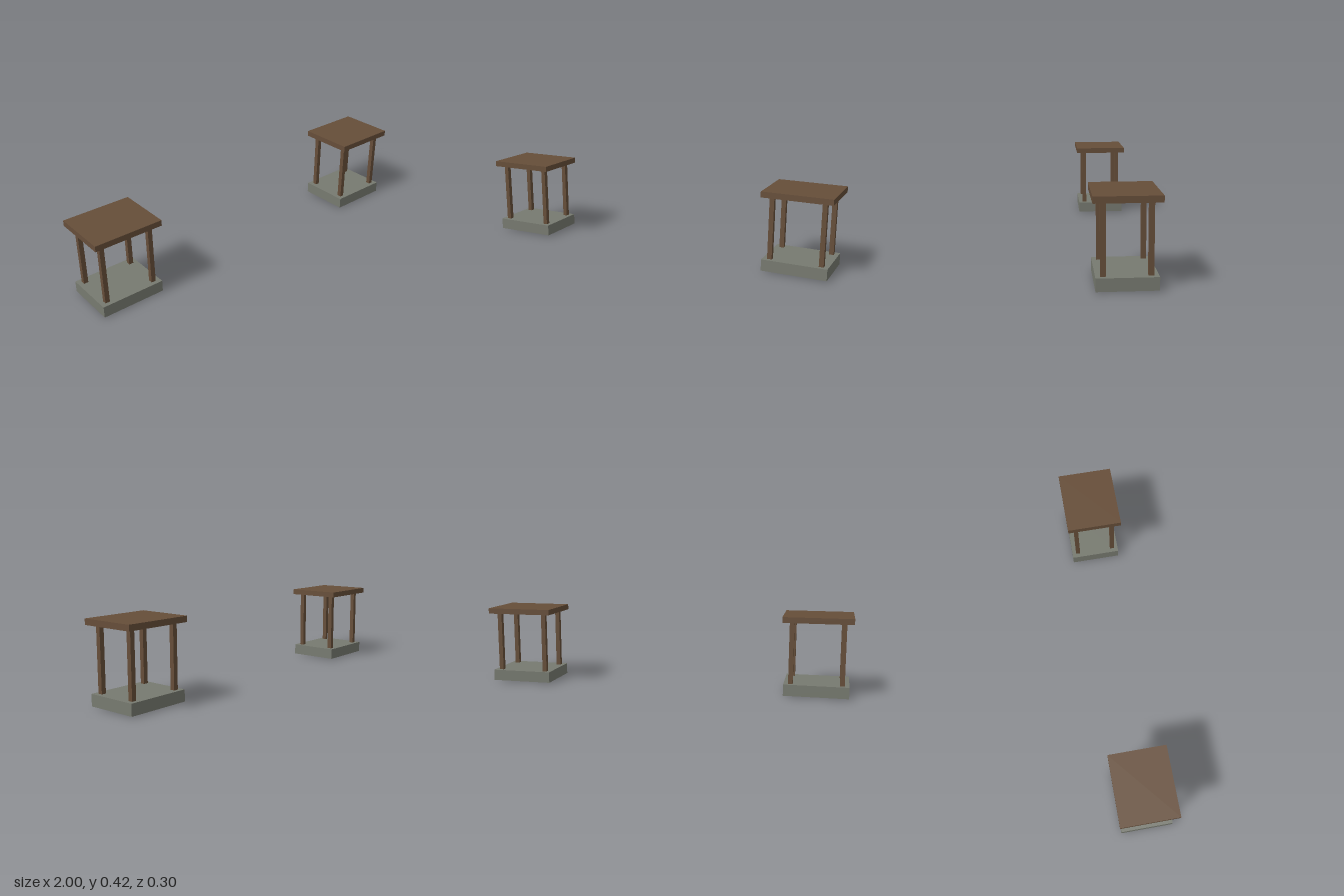
import * as THREE from 'three';

export function createModel() {
  const wood = new THREE.MeshStandardMaterial({ color: 0x664e39 });
  wood.name = 'brown wood';
  const stone = new THREE.MeshStandardMaterial({ color: 0x777a70 });
  stone.name = 'grey stone';

  const box = (parent, name, material, [w, h, d], [x, y, z]) => {
    const mesh = new THREE.Mesh(new THREE.BoxGeometry(w, h, d), material);
    mesh.name = name;
    mesh.position.set(x, y, z);
    parent.add(mesh);
  };

  // One open shelter: stone base, four corner posts and a flat roof
  const createShelter = (name, x) => {
    const shelter = new THREE.Group();
    shelter.name = name;
    shelter.position.x = x;
    box(shelter, 'base', stone, [0.336, 0.06, 0.276], [0, 0.035, 0]);
    box(shelter, 'roof', wood, [0.36, 0.03, 0.3], [0, 0.405, 0]);
    for (const sx of [-1, 1]) {
      for (const sz of [-1, 1]) {
        const post = `${sz > 0 ? 'front' : 'back'}${sx > 0 ? 'Left' : 'Right'}Post`;
        // Posts run through the base and just below it
        box(shelter, post, wood, [0.024, 0.39, 0.024], [sx * 0.132, 0.195, sz * 0.104]);
      }
    }
    return shelter;
  };

  const model = new THREE.Group();
  model.name = 'shelterPair';
  model.add(createShelter('rightShelter', -0.82), createShelter('leftShelter', 0.82));
  return model;
}
